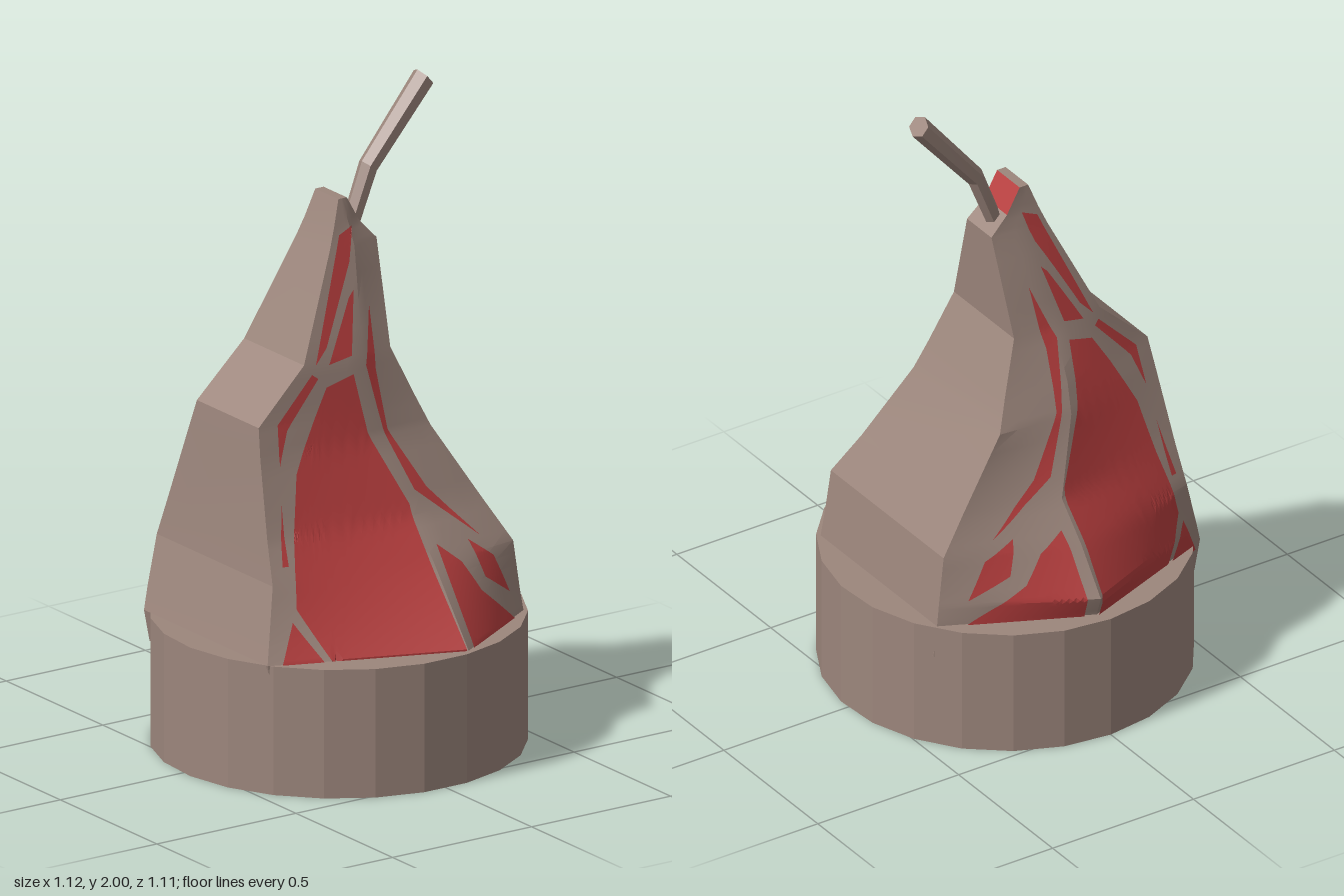
import * as THREE from 'three';
import { toCreasedNormals } from 'three/addons/utils/BufferGeometryUtils.js';

// Body cross-sections: y, xLeft, xRight, then for front and back: ridge x, z at left edge, ridge, right edge
const ROWS = [
  [0.30, -0.45, 0.463, 0.10, 0.31, 0.50, 0.31, 0.02, -0.33, -0.49, -0.31],
  [0.40, -0.47, 0.45, 0.10, 0.31, 0.53, 0.31, 0.02, -0.33, -0.515, -0.31],
  [0.47, -0.45, 0.44, 0.10, 0.29, 0.475, 0.305, 0.025, -0.34, -0.545, -0.305],
  [0.62, -0.41, 0.42, 0.10, 0.25, 0.355, 0.30, 0.04, -0.35, -0.465, -0.30],
  [0.75, -0.395, 0.35, 0.09, 0.20, 0.26, 0.24, 0.06, -0.31, -0.39, -0.30],
  [0.98, -0.378, 0.22, 0.02, 0.14, 0.165, 0.16, -0.02, -0.23, -0.32, -0.30],
  [1.07, -0.37, 0.18, 0.01, 0.12, 0.15, 0.14, -0.03, -0.20, -0.285, -0.265],
  [1.23, -0.20, 0.11, 0.0, 0.11, 0.125, 0.11, -0.03, -0.20, -0.215, -0.21],
  [1.54, -0.055, 0.13, 0.03, 0.035, 0.04, 0.01, 0.03, -0.14, -0.135, -0.12],
  [1.60, -0.03, 0.075, 0.025, 0.02, 0.02, 0.0, 0.025, -0.13, -0.125, -0.12],
  [1.68, 0.0, 0.03, 0.01, 0.0, 0.0, 0.0, 0.01, -0.12, -0.12, -0.12],
];

// Painted fields between the veins, as outlines in front x, y
const FIELDS = [
  [[-.27, .92], [-.135, 1.155], [-.04, 1.18], [-.01, 1], [.08, .785], [.095, .38], [-.28, .38], [-.355, .55], [-.335, .65]],
  [[-.44, .38], [-.375, .515], [-.3, .38]],
  [[-.37, .67], [-.335, .84], [-.35, .67]],
  [[-.32, .95], [-.31, 1.07], [-.18, 1.2], [-.16, 1.185], [-.28, 1.05]],
  [[-.165, 1.225], [-.02, 1.58], [.03, 1.6], [0, 1.5], [-.12, 1.27]],
  [[-.12, 1.22], [-.04, 1.235], [0, 1.42], [-.02, 1.4]],
  [[.005, 1.2], [.05, 1.37], [.04, 1.18], [.06, 1], [.155, .82], [.3, .66], [.11, .82], [.045, 1]],
  [[.13, .38], [.13, .67], [.2, .61], [.25, .52], [.41, .38]],
  [[.25, .66], [.33, .6], [.38, .48], [.28, .55]],
];

const { lerp, clamp } = THREE.MathUtils;

function rowAt(y) {
  let i = 0;
  while (i < ROWS.length - 2 && y > ROWS[i + 1][0]) i++;
  const a = ROWS[i], b = ROWS[i + 1];
  const t = clamp((y - a[0]) / (b[0] - a[0]), 0, 1);
  return a.map((v, k) => lerp(v, b[k], t));
}

// Point on the front (o = 3) or back (o = 7) face; s runs -1 left edge, 0 ridge, 1 right edge
function facePoint(o, s, y, lift = 0) {
  const r = rowAt(y), edge = s < 0 ? 1 : 2, zEdge = s < 0 ? o + 1 : o + 3, t = Math.abs(s);
  return [lerp(r[o], r[edge], t), y, lerp(r[o + 2], r[zEdge], t) + (o === 3 ? lift : -lift)];
}

function toS(x, y) {
  const r = rowAt(y);
  return clamp(x < r[3] ? (x - r[3]) / (r[3] - r[1]) : (x - r[3]) / (r[2] - r[3]), -1, 1);
}

function build(positions, crease = 0.28) {
  const g = new THREE.BufferGeometry();
  g.setAttribute('position', new THREE.Float32BufferAttribute(positions, 3));
  return toCreasedNormals(g, crease);
}

const quad = (out, a, b, c, d) => out.push(...a, ...b, ...c, ...a, ...c, ...d);

function faceGeometry(o) {
  const out = [], steps = 4;
  for (let i = 0; i < ROWS.length - 1; i++) for (let j = 0; j < steps; j++) {
    const y0 = lerp(ROWS[i][0], ROWS[i + 1][0], j / steps);
    const y1 = lerp(ROWS[i][0], ROWS[i + 1][0], (j + 1) / steps);
    for (let k = -4; k < 4; k++) {
      const [l, r] = o === 3 ? [k / 4, (k + 1) / 4] : [(k + 1) / 4, k / 4];
      quad(out, facePoint(o, l, y0), facePoint(o, r, y0), facePoint(o, r, y1), facePoint(o, l, y1));
    }
  }
  return build(out);
}

// Flat side wall between the front and back edges, over a span of rows
function wallGeometry(s, from, to) {
  const out = [], [a, b] = s > 0 ? [3, 7] : [7, 3];
  for (let i = from; i < to; i++) {
    const y0 = ROWS[i][0], y1 = ROWS[i + 1][0];
    quad(out, facePoint(a, s, y0), facePoint(b, s, y0), facePoint(b, s, y1), facePoint(a, s, y1));
  }
  return build(out, 0.1);
}

// Outline triangulated, split finely and draped just over the face
function fieldGeometry(o, outline) {
  const pts = outline.map(p => new THREE.Vector2(...p));
  if (THREE.ShapeUtils.isClockWise(pts)) pts.reverse();
  const out = [];
  const put = p => out.push(...facePoint(o, toS(p.x, p.y), p.y, 0.007));
  const split = (a, b, c, depth) => {
    if (depth === 0) {
      (o === 3 ? [a, b, c] : [a, c, b]).forEach(put);
      return;
    }
    const mid = (p, q) => p.clone().add(q).multiplyScalar(0.5);
    const ab = mid(a, b), bc = mid(b, c), ca = mid(c, a);
    split(a, ab, ca, depth - 1);
    split(ab, b, bc, depth - 1);
    split(ca, bc, c, depth - 1);
    split(ab, bc, ca, depth - 1);
  };
  for (const [i, j, k] of THREE.ShapeUtils.triangulateShape(pts, [])) split(pts[i], pts[j], pts[k], 4);
  return build(out);
}

// Six-sided bent stem
function stemGeometry() {
  const rings = [[0.08, 1.55, -0.065, 0.03, 0.35], [0.155, 1.735, -0.07, 0.034, 0.7], [0.355, 1.975, -0.07, 0.04, 0.87]]
    .map(([x, y, z, r, tilt]) => Array.from({ length: 6 }, (_, i) => {
      const a = i * Math.PI / 3, u = 0.85 * r * Math.cos(a);
      return [x + u * Math.cos(tilt), y - u * Math.sin(tilt), z - r * Math.sin(a)];
    }));
  const out = [];
  for (let i = 0; i < 6; i++) {
    const j = (i + 1) % 6;
    for (let k = 0; k < 2; k++) quad(out, rings[k][i], rings[k][j], rings[k + 1][j], rings[k + 1][i]);
    out.push(...rings[2][0], ...rings[2][i], ...rings[2][j]);
  }
  return build(out, 0.1);
}

export function createModel() {
  const model = new THREE.Group();
  const brown = new THREE.MeshStandardMaterial({ name: 'warm grey brown', color: 0x9c867c });
  const red = new THREE.MeshStandardMaterial({ name: 'meat red', color: 0xb83e3e });
  const add = (name, geometry, material) => {
    const mesh = new THREE.Mesh(geometry, material);
    mesh.name = name;
    model.add(mesh);
    return mesh;
  };

  // Round base
  const base = new THREE.CylinderGeometry(0.56, 0.56, 0.4, 23).rotateY(Math.PI).translate(0, 0.2, 0);
  add('base', toCreasedNormals(base, 0.1), brown);

  // Tapered body
  const last = ROWS.length - 1, top = ROWS[last][0];
  add('bodyFront', faceGeometry(3), brown);
  add('bodyBack', faceGeometry(7), brown);
  add('leftWall', wallGeometry(1, 0, last - 1), brown);
  add('rightWall', wallGeometry(-1, 0, last), brown);
  add('tipSlope', wallGeometry(1, last - 1, last), red);
  const lid = [];
  quad(lid, facePoint(3, -1, top), facePoint(3, 1, top), facePoint(7, 1, top), facePoint(7, -1, top));
  add('tipLid', build(lid), brown);

  // Painted fields on both faces
  for (const [name, o] of [['frontField', 3], ['backField', 7]]) {
    FIELDS.forEach((f, i) => add(name + (i + 1), fieldGeometry(o, f), red));
  }

  add('stem', stemGeometry(), brown);
  return model;
}
